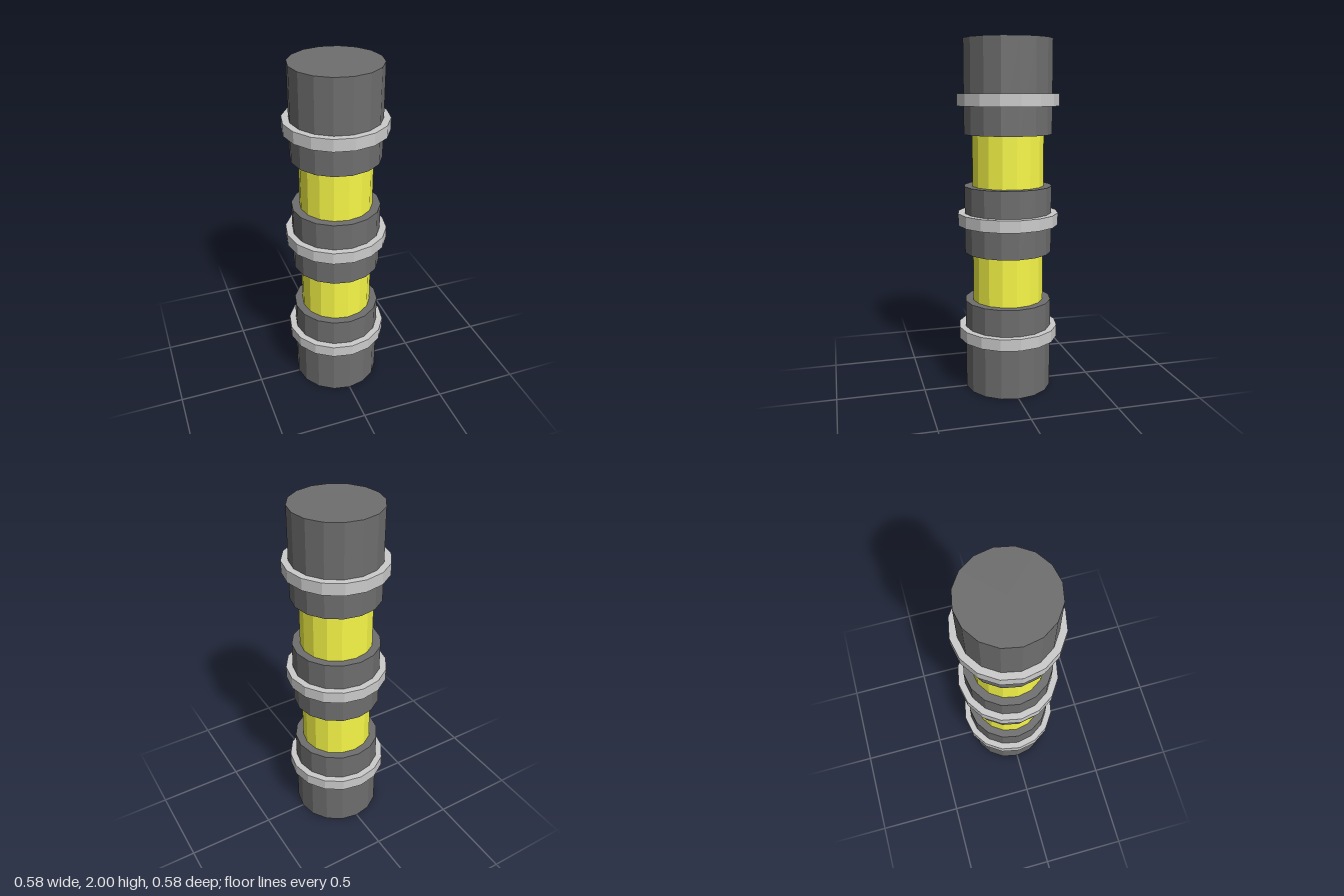
import * as THREE from 'three';

const SIDES = 16;

export function createModel() {
  const group = new THREE.Group();
  const casing = new THREE.MeshStandardMaterial({ color: 0x6e6e6e, flatShading: true });
  const steel = new THREE.MeshStandardMaterial({ color: 0xcccccc, flatShading: true });
  const glow = new THREE.MeshStandardMaterial({ color: 0xf8f848, flatShading: true });

  // Upright 16-sided cylinder between two heights
  const drum = (name, radius, bottom, top, material) => {
    const mesh = new THREE.Mesh(
      new THREE.CylinderGeometry(radius, radius, top - bottom, SIDES), material);
    mesh.position.y = (bottom + top) / 2;
    mesh.name = name;
    group.add(mesh);
  };

  // Dark casing sections
  drum('lowerCasing', 0.25, 0, 0.525, casing);
  drum('middleCasing', 0.25, 0.81, 1.19, casing);
  drum('upperCasing', 0.25, 1.48, 2, casing);

  // Yellow core showing in the gaps
  drum('lowerCore', 0.204, 0.525, 0.81, glow);
  drum('upperCore', 0.204, 1.19, 1.48, glow);

  // Flat band around each casing: a rectangular profile turned about y
  const r0 = 0.25, r1 = 0.288, h = 0.034;
  const profile = [[r0, -h], [r1, -h], [r1, h], [r0, h]].map(([x, y]) => new THREE.Vector2(x, y));
  const bandGeometry = new THREE.LatheGeometry(profile, SIDES);
  [['lowerBand', 0.335], ['middleBand', 1.003], ['upperBand', 1.67]].forEach(([name, y]) => {
    const band = new THREE.Mesh(bandGeometry, steel);
    band.position.y = y;
    band.name = name;
    group.add(band);
  });

  return group;
}
